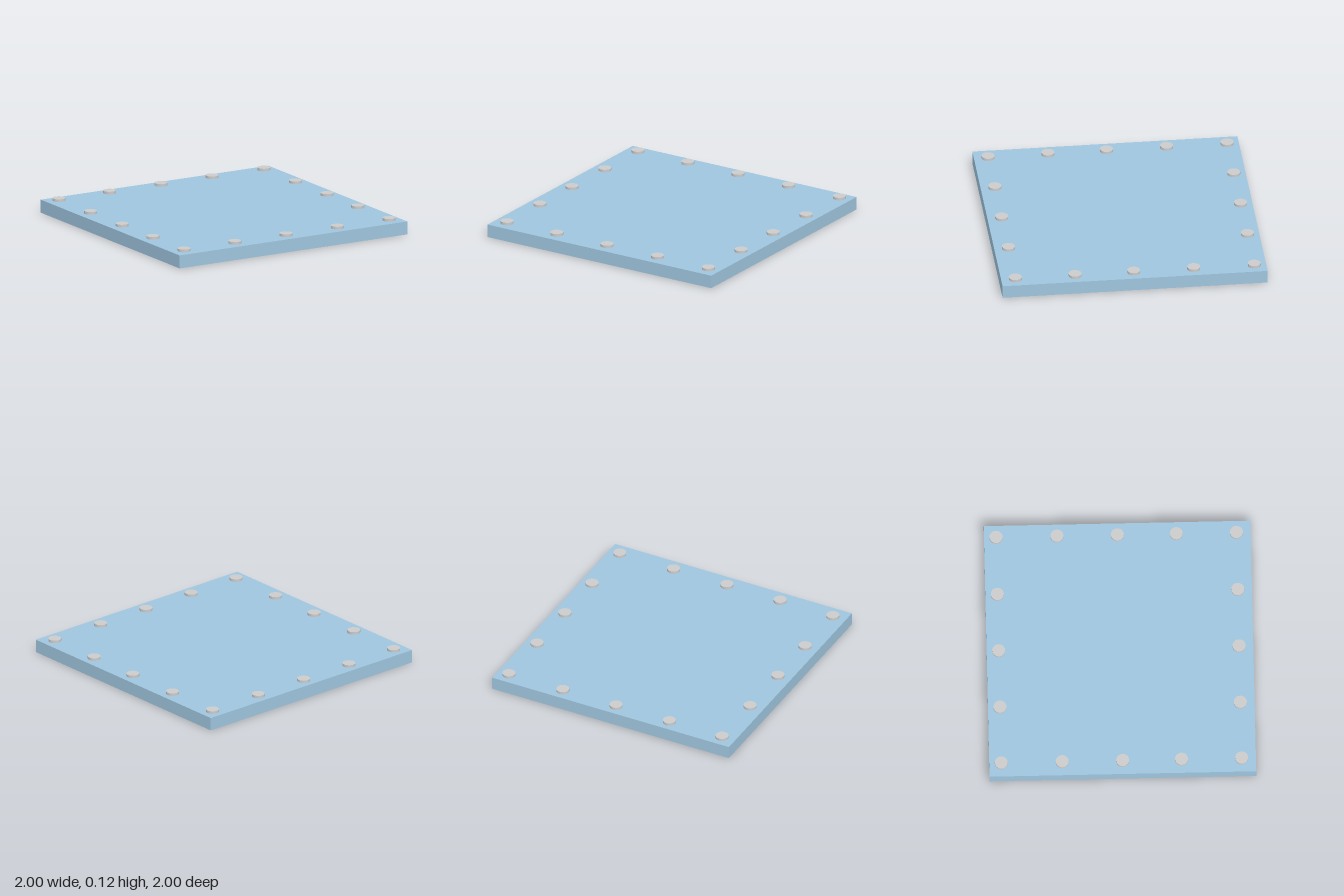
import * as THREE from 'three';

export function createModel() {
  const model = new THREE.Group();
  const blue = new THREE.MeshStandardMaterial({ color: 0x9fc5de });
  const grey = new THREE.MeshStandardMaterial({ color: 0xcccccc, flatShading: true });

  // Flat square slab
  const plate = new THREE.Mesh(new THREE.BoxGeometry(2, 0.1, 2), blue);
  plate.name = 'plate';
  plate.position.y = 0.05;
  model.add(plate);

  // Bolt heads around the rim, five along each side
  const bolts = new THREE.Group();
  bolts.name = 'bolts';
  const xs = [-0.895, -0.45, 0, 0.45, 0.905];
  const zs = [-0.91, -0.453, 0, 0.442, 0.893];
  const boltGeometry = new THREE.CylinderGeometry(0.049, 0.049, 0.03, 20);
  xs.forEach((x, i) => zs.forEach((z, j) => {
    if (i % 4 !== 0 && j % 4 !== 0) return; // rim only
    const bolt = new THREE.Mesh(boltGeometry, grey);
    bolt.name = 'bolt';
    bolt.position.set(x, 0.105, z);
    bolts.add(bolt);
  }));
  model.add(bolts);

  return model;
}
